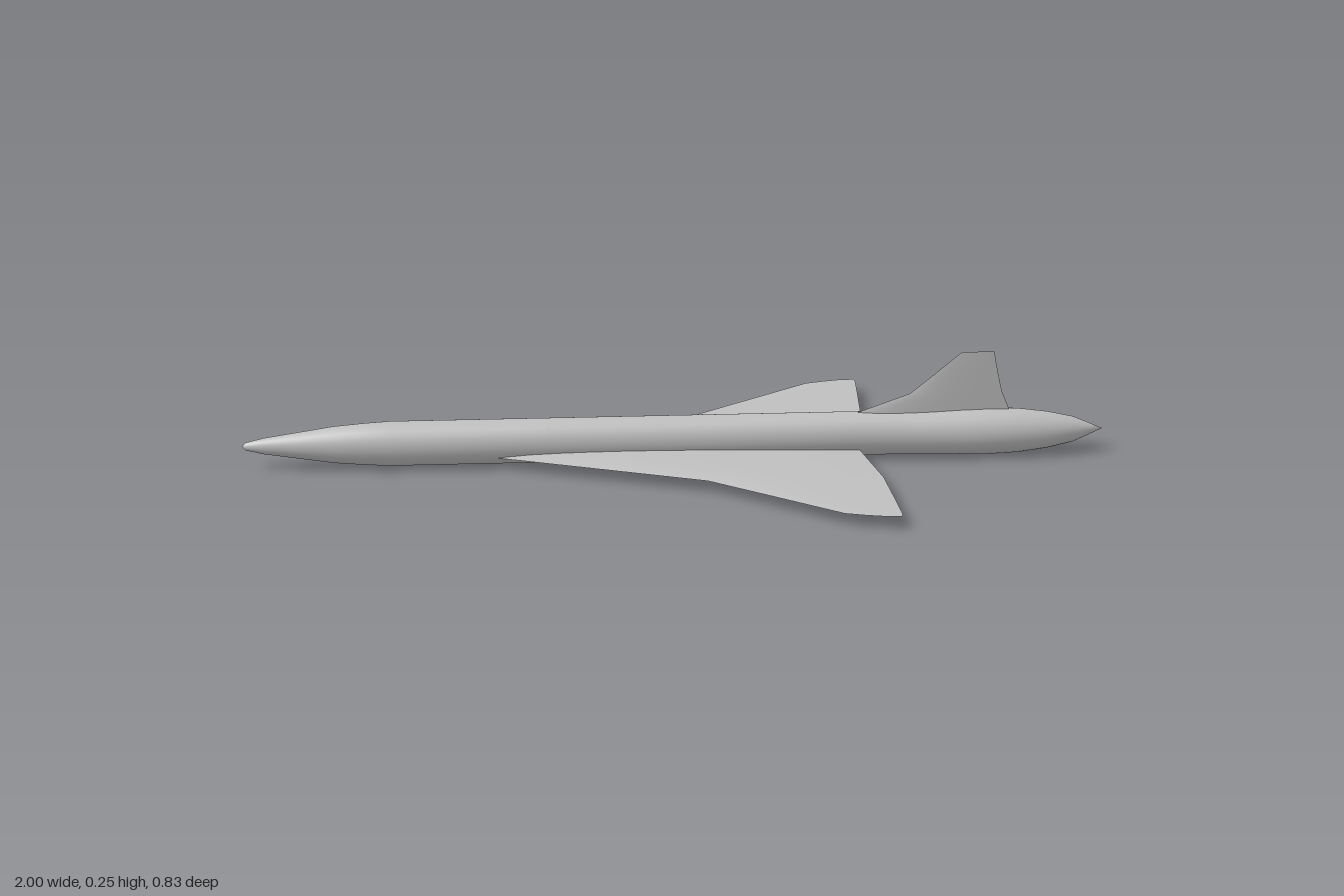
import * as THREE from 'three';
import { mergeVertices } from 'three/addons/utils/BufferGeometryUtils.js';

// Lofts a thin symmetric aerofoil along z; sections are [span, leadX, trailX, halfThickness]
function foilGeometry(sections, steps = 12) {
  const positions = [], index = [];
  for (const side of [1, -1]) {
    const base = positions.length / 3;
    for (const [span, lead, trail, half] of sections) {
      for (let i = 0; i <= steps; i++) {
        const u = i / steps;
        const bulge = half * Math.sin(Math.PI * Math.pow(u, 0.65));
        positions.push(lead + (trail - lead) * u, side * bulge, span);
      }
    }
    for (let s = 0; s < sections.length - 1; s++) {
      for (let i = 0; i < steps; i++) {
        const a = base + s * (steps + 1) + i, b = a + 1;
        const c = a + steps + 1, d = c + 1;
        if (side > 0) index.push(a, c, b, b, c, d);
        else index.push(a, b, c, b, d, c);
      }
    }
  }
  const geometry = new THREE.BufferGeometry();
  geometry.setAttribute('position', new THREE.Float32BufferAttribute(positions, 3));
  geometry.setIndex(index);
  geometry.computeVertexNormals();
  return geometry;
}

// Long tube with a tapered nose at -x and a rounder, slightly wider tail at +x
function fuselageGeometry() {
  const profile = [
    [-1, 0], [-0.992, 0.009], [-0.95, 0.019], [-0.87, 0.031], [-0.79, 0.043],
    [-0.72, 0.049], [-0.66, 0.0525], [-0.3, 0.0525], [0.1, 0.0525], [0.42, 0.0525],
    [0.5, 0.051], [0.58, 0.052], [0.66, 0.0545], [0.73, 0.055], [0.8, 0.052],
    [0.87, 0.043], [0.93, 0.03], [0.97, 0.013], [1, 0],
  ].map(([x, r]) => new THREE.Vector2(r, x));
  let geometry = new THREE.LatheGeometry(profile, 28);
  geometry.rotateZ(-Math.PI / 2);
  const p = geometry.attributes.position;
  for (let i = 0; i < p.count; i++) {
    const widen = THREE.MathUtils.smoothstep(p.getX(i), 0.45, 0.7);
    p.setZ(i, p.getZ(i) * (0.89 + 0.06 * widen));
  }
  geometry.deleteAttribute('uv');
  geometry.deleteAttribute('normal');
  geometry = mergeVertices(geometry, 1e-5);
  geometry.computeVertexNormals();
  return geometry;
}

export function createModel() {
  const model = new THREE.Group();
  model.name = 'deltaWingAircraft';
  const grey = new THREE.MeshStandardMaterial({ color: 0xc0c0c0 });
  grey.name = 'light grey';

  const add = (name, geometry, y) => {
    const mesh = new THREE.Mesh(geometry, grey);
    mesh.name = name;
    mesh.position.y = y;
    model.add(mesh);
  };

  add('fuselage', fuselageGeometry(), 0.055);

  // Cranked delta wing, lofted from one tip to the other
  const half = [
    [0.04, -0.42, 0.424, 0.012],
    [0.2, 0.06, 0.457, 0.0055],
    [0.3, 0.208, 0.464, 0.003],
    [0.393, 0.345, 0.47, 0.001],
    [0.405, 0.39, 0.47, 0.0006],
    [0.414, 0.436, 0.468, 0],
  ];
  const mirrored = half.map(([z, ...rest]) => [-z, ...rest]).reverse();
  add('wing', foilGeometry([...mirrored, ...half]), 0.03);

  // Swept tail fin with a long root fillet, stood upright
  const fin = foilGeometry([
    [0.085, 0.37, 0.785, 0.0075],
    [0.105, 0.415, 0.778, 0.0065],
    [0.152, 0.543, 0.758, 0.0035],
    [0.2, 0.6, 0.746, 0.002],
    [0.252, 0.66, 0.735, 0],
  ]);
  fin.rotateX(-Math.PI / 2);
  add('tailFin', fin, 0);

  return model;
}
